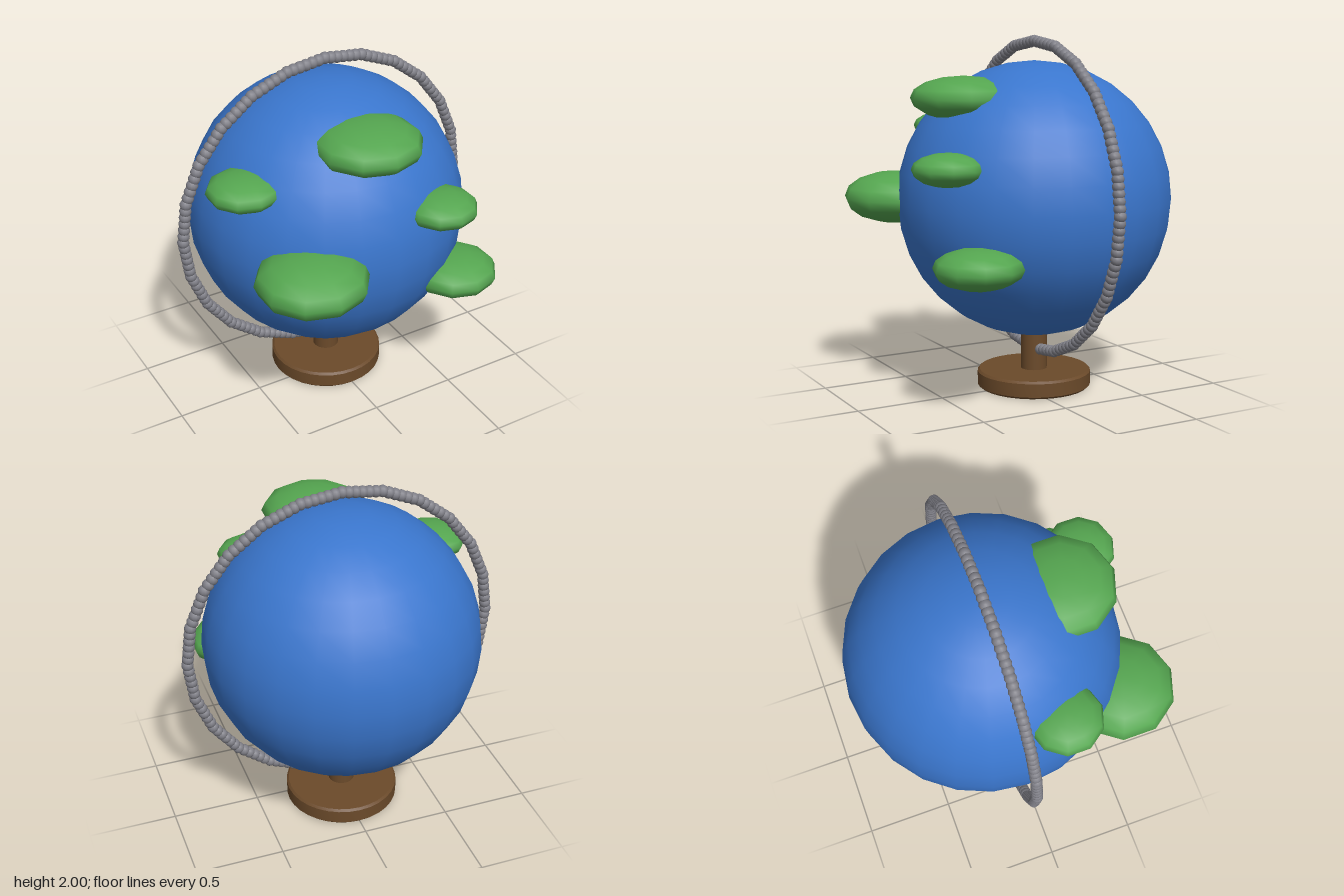
import * as THREE from 'three';
import { toCreasedNormals } from 'three/addons/utils/BufferGeometryUtils.js';

const material = (name, color) => {
  const m = new THREE.MeshStandardMaterial({ color });
  m.name = name;
  return m;
};

export function createModel() {
  const model = new THREE.Group();
  model.name = 'deskGlobe';
  const blue = material('oceanBlue', 0x3a76cd);
  const green = material('landGreen', 0x55a650);
  const grey = material('ringGrey', 0x808088);
  const brown = material('standBrown', 0x6b4a2a);

  const axisZ = -0.087, globeY = 1.085;
  const add = (name, geometry, mat, x, y, z, parent = model) => {
    const mesh = new THREE.Mesh(geometry, mat);
    mesh.name = name;
    mesh.position.set(x, y, z);
    parent.add(mesh);
    return mesh;
  };

  // Round foot with a small bevel, and its post
  const profile = [[0, 0], [0.313, 0], [0.325, 0.012], [0.325, 0.088], [0.313, 0.1], [0, 0.1]]
    .map(([r, y]) => new THREE.Vector2(r, y));
  add('base', toCreasedNormals(new THREE.LatheGeometry(profile, 32), 0.5), brown, 0, 0, axisZ);
  add('post', new THREE.CylinderGeometry(0.075, 0.075, 0.26, 24), brown, 0, 0.22, axisZ);

  // Globe
  add('globe', new THREE.SphereGeometry(0.775, 24, 16), blue, 0, globeY, axisZ);

  // Land masses: flattened balls half sunk in the globe [x, y, z, radius, half height]
  const landGeometry = new THREE.SphereGeometry(1, 10, 8).rotateY(Math.PI / 2);
  const lands = new THREE.Group();
  lands.name = 'continents';
  model.add(lands);
  [
    [0, 1.66, 0.355, 0.297, 0.122],
    [-0.45, 1.085, 0.56, 0.305, 0.147],
    [0.31, 1.31, 0.6, 0.198, 0.09],
    [0.478, 0.81, 0.515, 0.242, 0.11],
    [-0.62, 1.465, 0.155, 0.203, 0.087],
  ].forEach(([x, y, z, r, h], i) => {
    add(`continent${i + 1}`, landGeometry, green, x, y, z, lands).scale.set(r, h, r);
  });

  // Upright ring: beads strung along the sides of a 24-sided polygon
  const ring = new THREE.Group();
  ring.name = 'beadRing';
  ring.position.set(0, globeY + 0.005, axisZ);
  model.add(ring);
  const sides = 24, perSide = 6, ringRadius = 0.877;
  const beadGeometry = new THREE.SphereGeometry(0.033, 12, 8);
  const corner = (i) => {
    const a = (i / sides) * Math.PI * 2;
    return new THREE.Vector3(Math.cos(a) * ringRadius, Math.sin(a) * ringRadius, 0);
  };
  for (let i = 0; i < sides; i++) {
    for (let j = 0; j < perSide; j++) {
      const p = corner(i).lerp(corner(i + 1), j / perSide);
      add('bead', beadGeometry, grey, p.x, p.y, 0, ring);
    }
  }
  return model;
}
